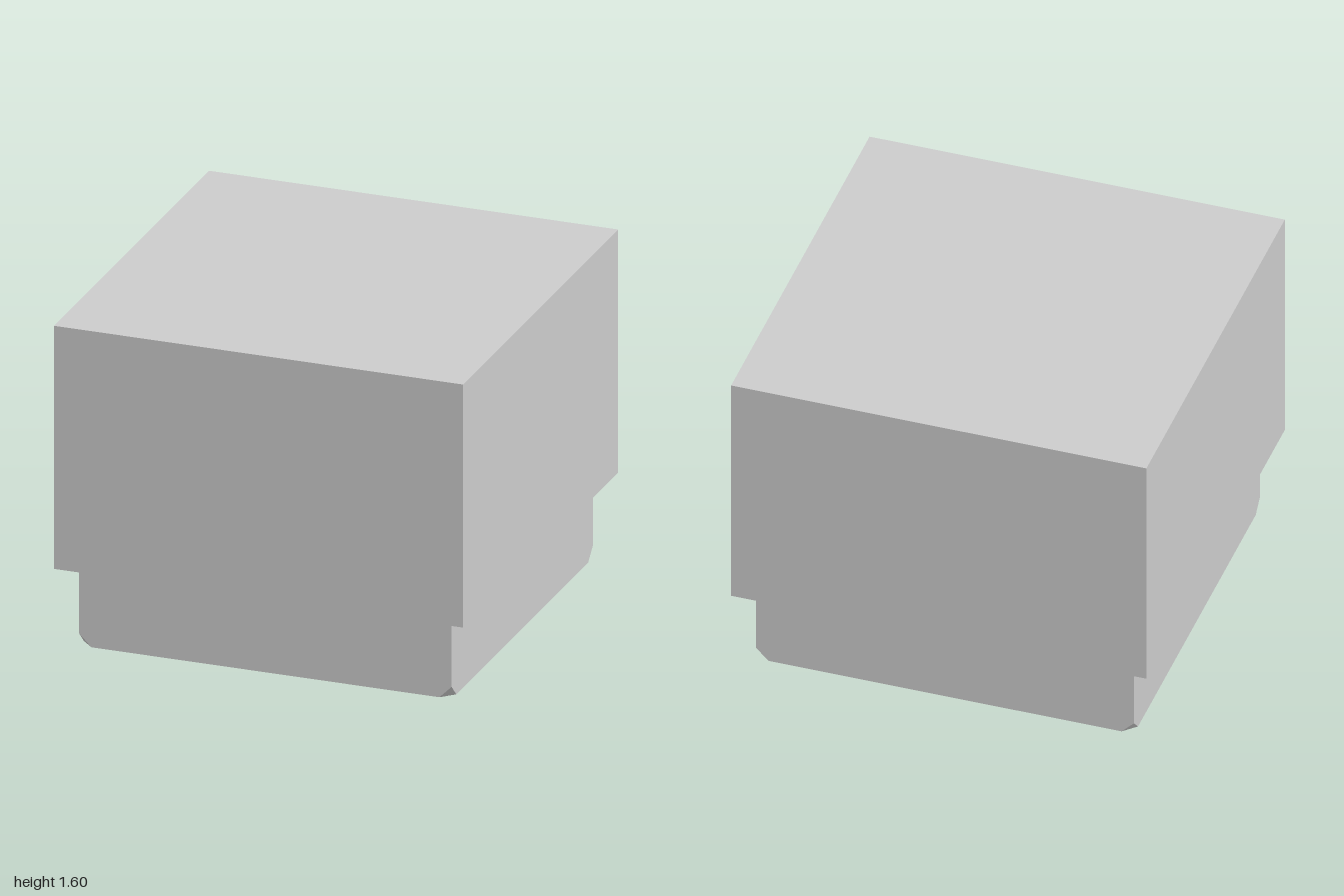
import * as THREE from 'three';

const BASE_H = 0.4, OUTER = 0.91, INNER = 0.82, CUT = 0.06;

// Hollow square skirt whose four lower corners are clipped off.
function skirtGeometry() {
  const o = OUTER, c = OUTER - CUT, i = INNER;
  const toPoints = list => list.map(([x, y]) => new THREE.Vector2(x, y));
  const outline = new THREE.Shape(toPoints([
    [c, -o], [o, -c], [o, c], [c, o], [-c, o], [-o, c], [-o, -c], [-c, -o],
  ]));
  outline.holes.push(new THREE.Path(toPoints([[-i, -i], [-i, i], [i, i], [i, -i]])));

  const geo = new THREE.ExtrudeGeometry(outline, { depth: BASE_H, steps: 2, bevelEnabled: false });
  geo.rotateX(-Math.PI / 2);

  // Middle ring drops to the clip height; rings above the floor become square.
  const pos = geo.attributes.position;
  for (let k = 0; k < pos.count; k++) {
    const x = pos.getX(k), y = pos.getY(k), z = pos.getZ(k);
    if (y < 0.01) continue;
    if (y < BASE_H - 0.01) pos.setY(k, CUT);
    if (Math.max(Math.abs(x), Math.abs(z)) > INNER + 0.01) {
      pos.setX(k, Math.sign(x) * OUTER);
      pos.setZ(k, Math.sign(z) * OUTER);
    }
  }
  geo.computeVertexNormals();
  return geo;
}

export function createModel() {
  const group = new THREE.Group();
  const material = new THREE.MeshStandardMaterial({ color: 0xcccccc, flatShading: true });
  const add = (name, geometry, x, y, z, parent = group) => {
    const mesh = new THREE.Mesh(geometry, material);
    mesh.name = name;
    mesh.position.set(x, y, z);
    parent.add(mesh);
  };

  // Main block and the narrower skirt under it
  add('block', new THREE.BoxGeometry(2, 1.2, 2), 0, 1, 0);
  add('skirt', skirtGeometry(), 0, 0, 0);

  // Grid of truncated pyramids hanging inside the recess
  const studs = new THREE.Group();
  studs.name = 'studs';
  group.add(studs);
  const count = 4, pitch = (2 * INNER) / count, studH = 0.2;
  const stud = new THREE.CylinderGeometry(pitch / Math.SQRT2, 0.027 * Math.SQRT2, studH, 4);
  stud.rotateY(Math.PI / 4);
  for (let i = 0; i < count; i++) {
    for (let j = 0; j < count; j++) {
      add('stud', stud, (i + 0.5) * pitch - INNER, BASE_H - studH / 2, (j + 0.5) * pitch - INNER, studs);
    }
  }
  return group;
}
